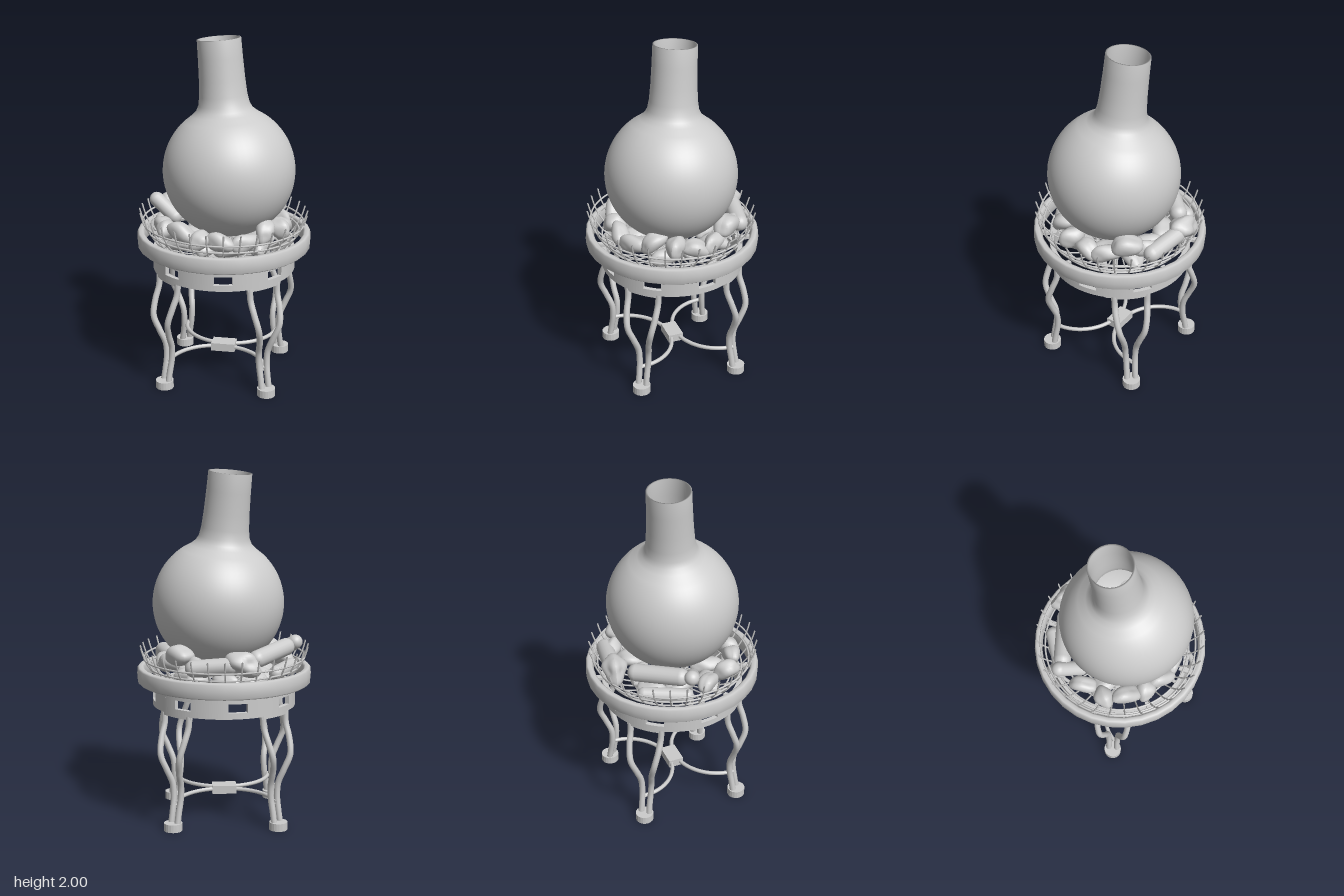
import * as THREE from 'three';

const mat = new THREE.MeshStandardMaterial({ color: 0xcccccc, side: THREE.DoubleSide });
const rad = THREE.MathUtils.degToRad;
// Point at azimuth a (degrees, from +z towards +x), radius r and height y
const polar = (a, r, y) => new THREE.Vector3(r * Math.sin(rad(a)), y, r * Math.cos(rad(a)));
const profileOf = (pairs) => pairs.map(([r, y]) => new THREE.Vector2(r, y));

function add(parent, name, geometry) {
  const mesh = new THREE.Mesh(geometry, mat);
  mesh.name = name;
  parent.add(mesh);
  return mesh;
}

function tube(points, radius, segments = 24, sides = 8) {
  return new THREE.TubeGeometry(new THREE.CatmullRomCurve3(points), segments, radius, sides);
}

// Curved bar: a sector of a flat ring between two azimuths
function arcBar(r0, r1, y0, y1, a0, a1) {
  const shape = new THREE.Shape();
  const s = rad(a0 - 90), e = rad(a1 - 90);
  shape.absarc(0, 0, r1, s, e, false);
  shape.absarc(0, 0, r0, e, s, true);
  const g = new THREE.ExtrudeGeometry(shape, { depth: y1 - y0, bevelEnabled: false, curveSegments: 10 });
  return g.rotateX(-Math.PI / 2).translate(0, y0, 0);
}

// Lumpy smooth stone or stubby log; the seed shifts the bumps
function lump(seed, bump) {
  const g = new THREE.SphereGeometry(1, 22, 16);
  const p = g.attributes.position, v = new THREE.Vector3();
  for (let i = 0; i < p.count; i++) {
    v.fromBufferAttribute(p, i);
    const k = 1 + bump * (Math.sin(3.1 * v.x + seed) * Math.cos(2.7 * v.y - seed) + 0.6 * Math.sin(4 * v.z + 2 * seed));
    v.multiplyScalar(k);
    p.setXYZ(i, v.x, v.y, v.z);
  }
  g.computeVertexNormals();
  return g;
}

function buildFlask() {
  const profile = [];
  const R = 0.375;
  for (let i = 0; i <= 32; i++) {
    const t = -Math.PI / 2 + (i / 32) * (Math.PI / 2 + 0.9);
    profile.push(new THREE.Vector2(Math.max(0.0001, R * Math.cos(t)), R * Math.sin(t)));
  }
  const neck = [[0.325, 0.187], [0.348, 0.16], [0.38, 0.144], [0.43, 0.135], [0.52, 0.129], [0.64, 0.125], [0.745, 0.123]];
  for (const [y, r] of neck) profile.push(new THREE.Vector2(r, y));
  // Thin lip, then back down the inside
  profile.push(new THREE.Vector2(0.114, 0.745));
  for (const [y, r] of neck.slice(0, -1).reverse()) profile.push(new THREE.Vector2(r - 0.009, y));
  const flask = new THREE.Group();
  flask.name = 'flask';
  add(flask, 'flaskBody', new THREE.LatheGeometry(profile, 56));
  flask.position.set(0.024, 1.25, 0.027);
  flask.quaternion.setFromUnitVectors(new THREE.Vector3(0, 1, 0), new THREE.Vector3(-0.045, 0.75, -0.069).normalize());
  return flask;
}

function buildBasket() {
  const basket = new THREE.Group();
  basket.name = 'basket';
  // Outer hoop with softened edges
  const hoop = add(basket, 'outerHoop', new THREE.LatheGeometry(profileOf([[0.468, -0.047], [0.488, -0.046], [0.497, -0.038],
    [0.5, 0], [0.497, 0.038], [0.488, 0.046], [0.468, 0.047], [0.457, 0.038], [0.455, 0], [0.457, -0.038], [0.468, -0.047]]), 32));
  hoop.position.y = 0.843;
  hoop.rotation.set(-0.006, 0, -0.003);

  // Deep wire bowl, spokes ending in outward prongs; heights are about the hoop
  const wires = new THREE.Group();
  wires.name = 'wireBowl';
  const bowl = [[0.482, 0.165], [0.462, 0.1], [0.437, 0.055], [0.395, 0], [0.33, -0.05], [0.24, -0.085], [0.13, -0.103], [0.04, -0.108]];
  for (let i = 0; i < 32; i++) {
    add(wires, 'basketSpoke', tube(bowl.map(([r, y]) => polar(i * 11.25, r, y)), 0.005, 16, 5));
  }
  for (const [r, y] of bowl.slice(1)) {
    add(wires, 'basketWire', new THREE.TorusGeometry(r, 0.0055, 6, 64).rotateX(Math.PI / 2).translate(0, y, 0));
  }
  wires.position.set(-0.006, 0.843, 0.006);
  wires.rotation.set(-0.02, 0, -0.02);
  basket.add(wires);
  return basket;
}

function buildFuel() {
  const fuel = new THREE.Group();
  fuel.name = 'fuel';
  // Outer lumps: azimuth, radius, height, half length, half thickness, turn from tangent, tilt
  const lumps = [
    [8, 0.33, 0.92, 0.09, 0.05, 10, 0.1], [32, 0.335, 0.97, 0.085, 0.05, 35, 0.6],
    [52, 0.345, 0.95, 0.075, 0.055, 70, 0.3], [72, 0.335, 0.92, 0.085, 0.05, -10, -0.2],
    [92, 0.34, 0.93, 0.09, 0.05, 15, 0.1], [111, 0.345, 0.99, 0.09, 0.06, 0, 0.2],
    [132, 0.345, 0.94, 0.09, 0.05, -20, -0.2], [262, 0.345, 0.92, 0.08, 0.045, 30, 0.1],
    [285, 0.36, 0.94, 0.075, 0.055, -50, 0.3], [306, 0.345, 0.96, 0.09, 0.05, 15, -0.3],
    [326, 0.335, 0.93, 0.07, 0.055, 60, 0.2], [345, 0.33, 0.93, 0.085, 0.05, -15, -0.2],
  ];
  lumps.forEach(([a, r, y, len, thick, turn, tilt], i) => {
    const m = add(fuel, 'coal', lump(i * 1.7, 0.13));
    m.position.copy(polar(a, r, y));
    m.scale.set(len, thick, thick);
    m.rotation.set(0, rad(a + turn), tilt, 'YXZ');
  });
  // Inner lumps that carry the flask
  for (let i = 0; i < 9; i++) {
    const m = add(fuel, 'innerCoal', lump(i * 2.3 + 1, 0.13));
    m.position.copy(polar(i * 40, i % 2 ? 0.25 : 0.2, 0.835));
    m.scale.set(0.095, 0.045, 0.06);
    m.rotation.y = i * 1.3;
  }
  // Round-ended logs at the back
  const logs = [
    [[-0.29, 1.01, -0.21], [-0.06, 0.98, -0.33], 0.05], [[-0.36, 1.03, -0.19], [-0.27, 0.95, -0.1], 0.042],
    [[0.12, 0.96, -0.36], [0.29, 0.94, -0.26], 0.048], [[-0.16, 0.9, -0.36], [-0.33, 0.9, -0.2], 0.04],
  ];
  for (const [a, b, r] of logs) {
    const p = new THREE.Vector3(...a), d = new THREE.Vector3(...b).sub(p);
    const m = add(fuel, 'log', new THREE.CapsuleGeometry(r, d.length(), 8, 18));
    m.position.copy(p).addScaledVector(d, 0.5);
    m.quaternion.setFromUnitVectors(new THREE.Vector3(0, 1, 0), d.normalize());
  }
  // Angular stone leaning at the back
  const stone = add(fuel, 'stone', lump(4, 0.22));
  stone.position.set(0.06, 0.97, -0.385);
  stone.scale.set(0.1, 0.065, 0.07);
  stone.rotation.y = -0.6;
  return fuel;
}

function buildStand() {
  const stand = new THREE.Group();
  stand.name = 'stand';
  // Band with eight rectangular windows
  for (let i = 0; i < 8; i++) {
    const a = 33 + i * 45;
    add(stand, 'bandLower', arcBar(0.385, 0.41, 0.668, 0.703, a, a + 45));
    add(stand, 'bandUpper', arcBar(0.385, 0.41, 0.753, 0.783, a, a + 45));
    add(stand, 'bandPost', arcBar(0.385, 0.41, 0.703, 0.753, a + 7.5, a + 37.5));
    add(stand, 'spacer', arcBar(0.37, 0.46, 0.783, 0.8, i * 45 + 8, i * 45 + 12));
  }

  // Four legs, each a pair of bent rods meeting in one foot: height, radius, spread in degrees
  const bend = [[0.67, 0.395, 14], [0.6, 0.4, 13.5], [0.52, 0.428, 12], [0.43, 0.447, 9.5], [0.34, 0.42, 6.5],
    [0.26, 0.39, 4.8], [0.18, 0.387, 4], [0.1, 0.4, 3.5], [0.03, 0.412, 3.5]];
  const footProfile = profileOf([[0.0001, 0.025], [0.042, 0.025], [0.042, 0], [0.052, 0], [0.052, 0.045], [0.0001, 0.045]]);
  for (let i = 0; i < 4; i++) {
    const a = 24 + i * 90;
    const leg = new THREE.Group();
    leg.name = 'leg';
    for (const side of [-1, 1]) {
      add(leg, 'legRod', tube(bend.map(([y, r, s]) => polar(a + side * s, r, y)), 0.018, 40, 10));
    }
    add(leg, 'legBridge', arcBar(0.38, 0.408, 0.653, 0.669, a - 16, a + 16));
    // Cup-shaped foot, hollow underneath
    const foot = add(leg, 'foot', new THREE.LatheGeometry(footProfile, 20).toNonIndexed());
    foot.geometry.computeVertexNormals();
    foot.position.copy(polar(a, 0.42, 0));
    stand.add(leg);
  }

  // Two C-shaped stretchers clasped back to back
  for (const a of [-21, 159]) {
    const pts = [];
    for (let i = 0; i <= 12; i++) {
      const t = -Math.PI / 2 + (i / 12) * Math.PI;
      pts.push(polar(a, 0.285 - 0.265 * Math.cos(t), 0.155).add(polar(a + 90, 0.275 * Math.sin(t), 0)));
    }
    add(stand, 'stretcher', tube(pts, 0.012, 40, 8));
  }
  const clasp = add(stand, 'clasp', new THREE.BoxGeometry(0.14, 0.048, 0.09));
  clasp.position.y = 0.154;
  clasp.rotation.y = rad(-21);
  return stand;
}

export function createModel() {
  const model = new THREE.Group();
  model.name = 'flaskOnBrazier';
  model.add(buildStand(), buildBasket(), buildFuel(), buildFlask());
  return model;
}
